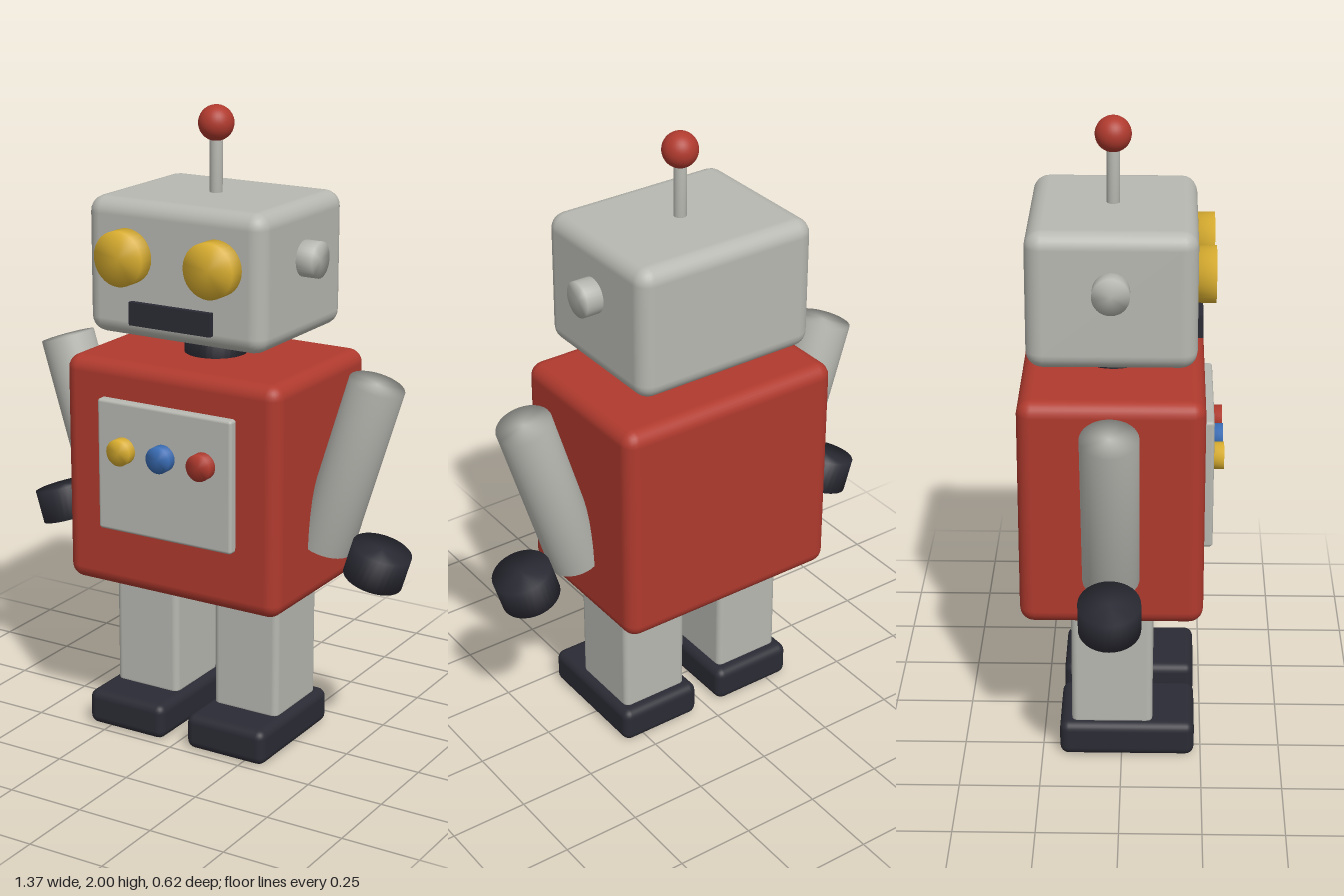
import * as THREE from 'three';
import { mergeVertices } from 'three/addons/utils/BufferGeometryUtils.js';
import { RoundedBoxGeometry } from 'three/addons/geometries/RoundedBoxGeometry.js';

const Z = -0.03; // depth of the robot's central axis

function material(name, color) {
  const m = new THREE.MeshStandardMaterial({ color });
  m.name = name;
  return m;
}

// Cylinder whose normals flow smoothly over the rims
function softCylinder(radius, height, sides = 32) {
  const g = new THREE.CylinderGeometry(radius, radius, height, sides);
  g.deleteAttribute('normal');
  g.deleteAttribute('uv');
  const merged = mergeVertices(g, 1e-4);
  merged.computeVertexNormals();
  return merged;
}

export function createModel() {
  const robot = new THREE.Group();
  robot.name = 'toyRobot';

  const grey = material('greyMetal', 0xb8b8b2);
  const red = material('redPaint', 0xb03a2e);
  const dark = material('darkRubber', 0x2b2b35);
  const yellow = material('yellowLamp', 0xd9ae30);
  const blue = material('blueButton', 0x3a6db5);

  function add(name, geometry, mat, x, y, z) {
    const mesh = new THREE.Mesh(geometry, mat);
    mesh.name = name;
    mesh.position.set(x, y, z);
    robot.add(mesh);
    return mesh;
  }
  const block = (name, mat, w, h, d, r, x, y, z) =>
    add(name, new RoundedBoxGeometry(w, h, d, 3, r), mat, x, y, z);

  // Torso, neck and head
  block('torso', red, 0.762, 0.733, 0.562, 0.045, 0, 0.869, Z);
  add('neck', softCylinder(0.098, 0.12), dark, 0, 1.27, Z);
  block('head', grey, 0.62, 0.423, 0.508, 0.05, 0, 1.523, Z);

  // Antenna
  add('antennaRod', softCylinder(0.02, 0.2, 16), grey, 0, 1.81, Z);
  add('antennaBall', new THREE.SphereGeometry(0.055, 32, 20), red, 0, 1.945, Z);

  // Mouth and chest panel
  add('mouth', new THREE.BoxGeometry(0.286, 0.072, 0.04), dark, 0, 1.393, 0.222);
  block('chestPanel', grey, 0.478, 0.42, 0.05, 0.01, 0, 0.912, 0.254);

  // Chest buttons
  [yellow, blue, red].forEach((mat, i) => {
    const button = add('chestButton', softCylinder(0.042, 0.05), mat, (i - 1) * 0.143, 0.97, 0.286);
    button.rotation.x = Math.PI / 2;
  });

  for (const s of [1, -1]) {
    const side = s > 0 ? 'left' : 'right';

    // Face fittings
    const eye = add(side + 'Eye', softCylinder(0.085, 0.07), yellow, s * 0.157, 1.565, 0.243);
    eye.rotation.x = Math.PI / 2;
    const ear = add(side + 'Ear', softCylinder(0.056, 0.08), grey, s * 0.324, 1.565, Z);
    ear.rotation.z = -s * Math.PI / 2;

    // Tilted arm and hand
    const arm = add(side + 'Arm', softCylinder(0.087, 0.56), grey, s * 0.479, 0.942, Z);
    arm.rotation.z = -s * 0.3;
    const hand = add(side + 'Hand', softCylinder(0.094, 0.107), dark, s * 0.577, 0.643, Z);
    hand.rotation.z = -s * 0.3;

    // Leg and foot
    block(side + 'Leg', grey, 0.23, 0.44, 0.254, 0.02, s * 0.184, 0.32, Z);
    block(side + 'Foot', dark, 0.282, 0.115, 0.424, 0.028, s * 0.184, 0.0575, 0.017);
  }

  return robot;
}
